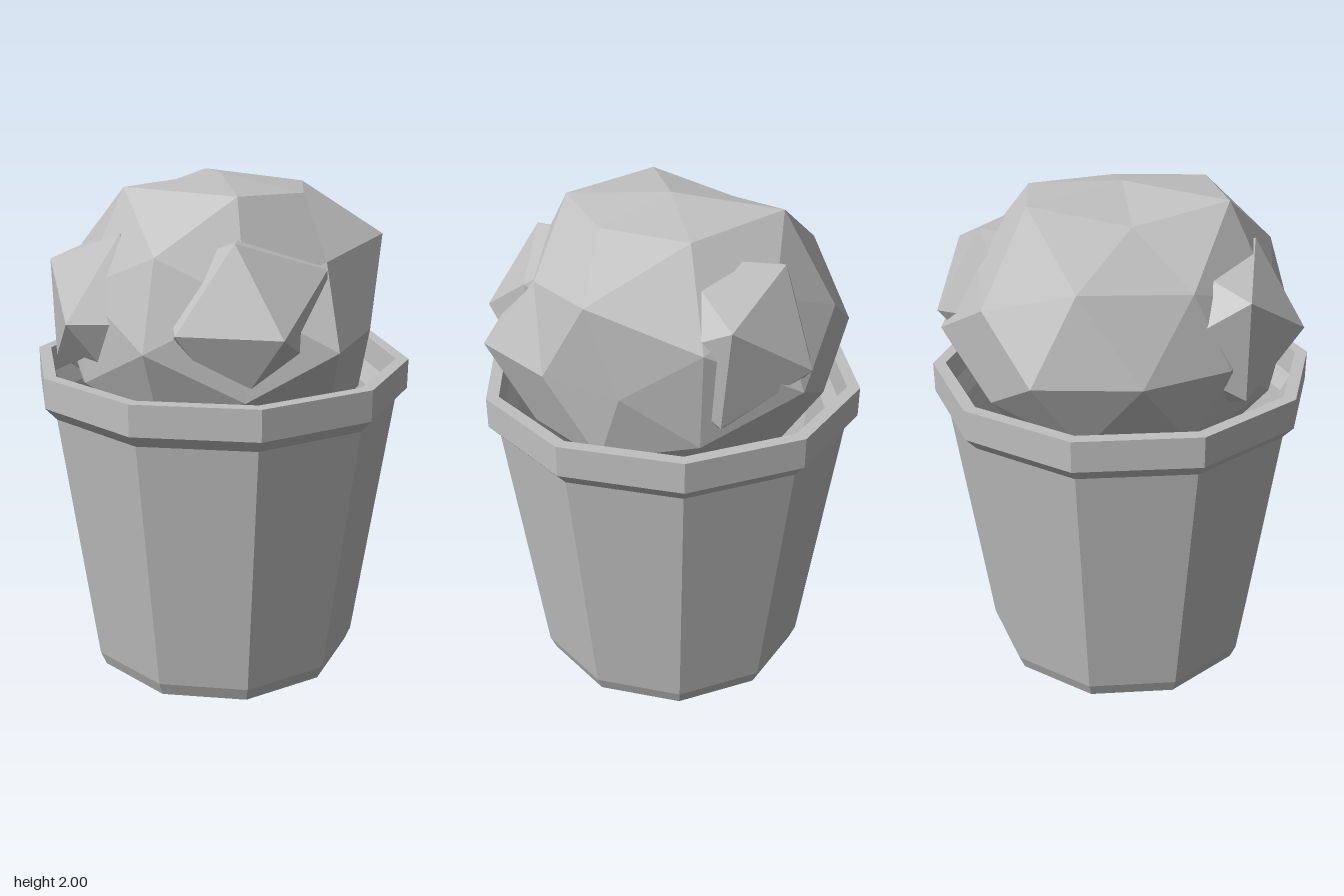
import * as THREE from 'three';

const grey = new THREE.MeshStandardMaterial({ color: 0xc0c0c0, flatShading: true });
grey.name = 'light grey';

function part(name, geometry) {
  const mesh = new THREE.Mesh(geometry, grey);
  mesh.name = name;
  return mesh;
}

// Ten-sided pot: bevelled foot, tapered wall, flared rim and hollow inside
function potGeometry() {
  const profile = [
    [0, 0], [0.545, 0], [0.57, 0.06], [0.71, 1.11], [0.755, 1.16], [0.755, 1.28],
    [0.705, 1.28], [0.695, 1.18], [0.655, 1.11], [0.56, 0.4], [0, 0.4],
  ].map(([r, y]) => new THREE.Vector2(r, y));
  return new THREE.LatheGeometry(profile, 10, Math.PI / 2).toNonIndexed();
}

// Uneven faceted ball: each listed direction has its own radius
function crownGeometry() {
  const radii = [
    [0, 1, 0, 0.62], [-0.526, 0.851, 0, 0.62],
    [0.309, 0.809, 0.5, 0.71], [0.309, 0.809, -0.5, 0.69],
    [-0.309, 0.809, 0.5, 0.73], [-0.309, 0.809, -0.5, 0.73],
    [0, 0.526, 0.851, 0.68], [0.809, 0.5, 0.309, 0.62],
    [0.809, 0.5, -0.309, 0.73], [-0.809, 0.5, -0.309, 0.70], [-0.809, 0.5, 0.309, 0.63],
    [0.5, 0.309, 0.809, 0.63], [0.5, 0.309, -0.809, 0.69], [-0.5, 0.309, -0.809, 0.67],
    [1, 0, 0, 0.62], [-1, 0, 0, 0.67], [0, 0, 1, 0.68], [0, 0, -1, 0.71],
    [0.851, 0, 0.526, 0.73], [0.851, 0, -0.526, 0.62],
    [-0.851, 0, -0.526, 0.73], [-0.851, 0, 0.526, 0.63],
  ];
  const geometry = new THREE.IcosahedronGeometry(1, 1);
  const pos = geometry.attributes.position;
  const v = new THREE.Vector3();
  for (let i = 0; i < pos.count; i++) {
    v.fromBufferAttribute(pos, i).normalize();
    const hit = radii.find(([x, y, z]) => v.x * x + v.y * y + v.z * z > 0.99);
    v.multiplyScalar(hit ? hit[3] : 0.65);
    pos.setXYZ(i, v.x, v.y * 0.9, v.z);
  }
  geometry.rotateY(THREE.MathUtils.degToRad(-52.3)).translate(0, 1.44, 0);
  geometry.computeVertexNormals();
  return geometry;
}

// Right-handed frame whose x axis is the given axis, turned towards a second direction
function frame(axis, toward) {
  const x = axis.clone().normalize();
  const y = toward.clone().addScaledVector(x, -toward.dot(x)).normalize();
  return new THREE.Matrix4().makeBasis(x, y, x.clone().cross(y));
}

// Twenty-sided lump with one corner at the tip, and a neighbouring corner near "side"
function lumpGeometry(tip, axis, side) {
  const R = 0.36;
  const t = (1 + Math.sqrt(5)) / 2;
  const tipPoint = new THREE.Vector3(...tip);
  const n = new THREE.Vector3(...axis).normalize();
  const from = frame(new THREE.Vector3(-1, t, 0), new THREE.Vector3(1, t, 0));
  const to = frame(n, new THREE.Vector3(...side).sub(tipPoint));
  const centre = tipPoint.clone().addScaledVector(n, -R);
  return new THREE.IcosahedronGeometry(R, 0)
    .applyMatrix4(to.multiply(from.invert()))
    .translate(centre.x, centre.y, centre.z);
}

export function createModel() {
  const model = new THREE.Group();
  model.name = 'pottedBush';
  model.add(part('pot', potGeometry()));
  model.add(part('crown', crownGeometry()));
  model.add(part('frontLump', lumpGeometry([-0.15, 1.51, 0.72], [-0.12, 0, 1], [-0.46, 1.51, 0.5])));
  model.add(part('rightLump', lumpGeometry([-0.71, 1.51, 0.14], [-0.91, 0, 0.41], [-0.64, 1.69, -0.18])));
  model.add(part('leftLump', lumpGeometry([0.67, 1.72, -0.16], [0.9, 0.44, 0.02], [0.54, 1.51, -0.47])));
  return model;
}
